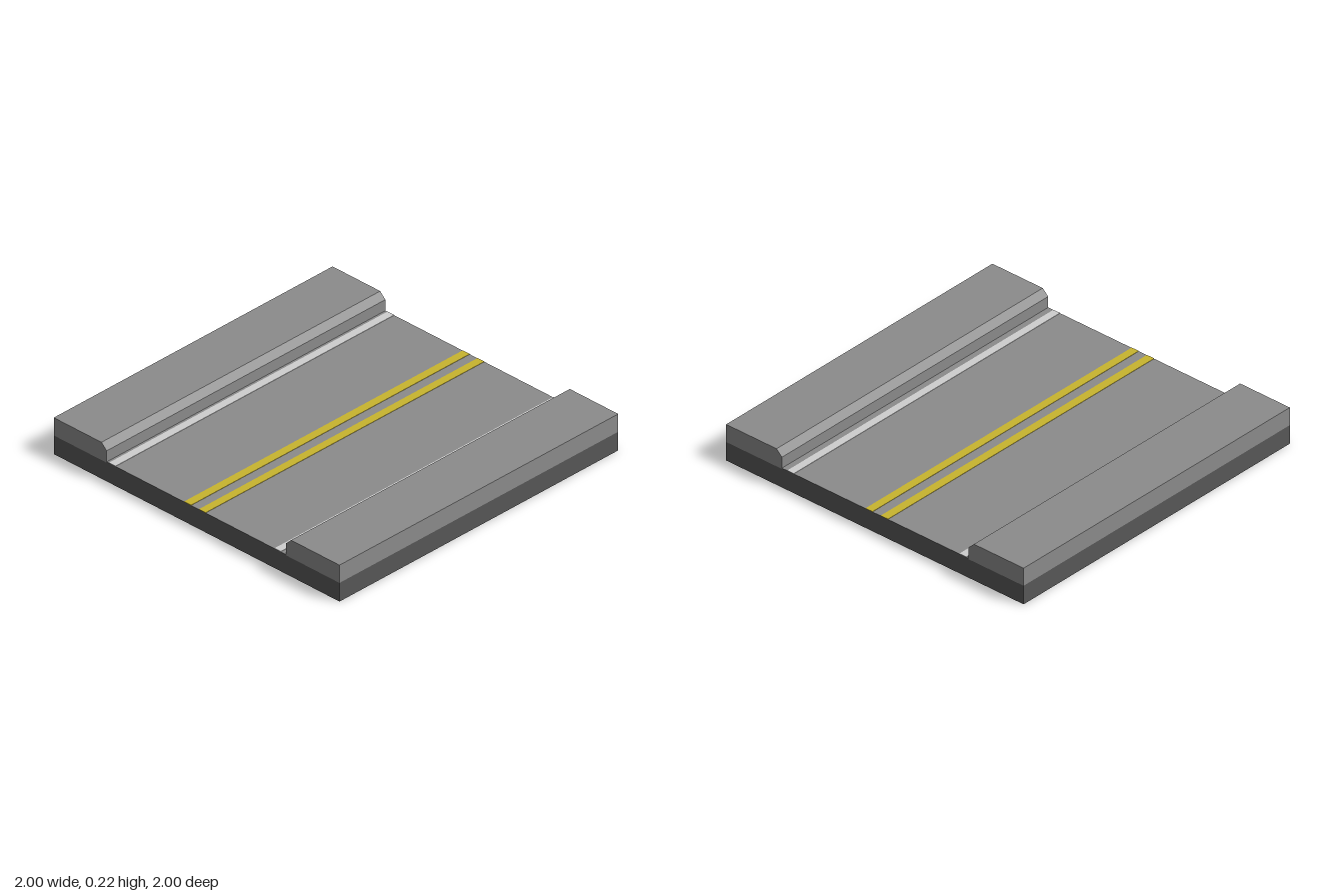
import * as THREE from 'three';

function material(name, color) {
  const m = new THREE.MeshStandardMaterial({ color });
  m.name = name;
  return m;
}

export function createModel() {
  const group = new THREE.Group();
  group.name = 'roadSection';

  const asphalt = material('asphalt grey', 0x8b8b8b);
  const foundation = material('foundation dark grey', 0x575757);
  const yellow = material('line yellow', 0xc8b42e);
  const white = material('line white', 0xcecece);

  const length = 2, baseTop = 0.11, roadTop = 0.115, walkTop = 0.215;
  const curbRight = -0.63, curbLeft = 0.625;

  // Box running the full length, given by its x and y limits
  function strip(name, x0, x1, y0, y1, mat) {
    const mesh = new THREE.Mesh(new THREE.BoxGeometry(x1 - x0, y1 - y0, length), mat);
    mesh.position.set((x0 + x1) / 2, (y0 + y1) / 2, 0);
    mesh.name = name;
    group.add(mesh);
  }

  // Dark foundation, and the road slab with a lighter top face
  strip('foundation', -1, 1, 0, baseTop, foundation);
  const slabFaces = [foundation, foundation, asphalt, foundation, foundation, foundation];
  strip('roadSurface', curbRight, curbLeft, baseTop, roadTop, slabFaces);

  // Raised sidewalks with a chamfered curb edge
  function sidewalk(name, outer, curb) {
    const dir = Math.sign(outer);
    const shape = new THREE.Shape([
      [outer, baseTop], [curb, baseTop], [curb, walkTop - 0.035],
      [curb + dir * 0.036, walkTop], [outer, walkTop],
    ].map(([x, y]) => new THREE.Vector2(x, y)));
    const geometry = new THREE.ExtrudeGeometry(shape, { depth: length, bevelEnabled: false });
    geometry.translate(0, 0, -length / 2);
    const mesh = new THREE.Mesh(geometry, asphalt);
    mesh.name = name;
    group.add(mesh);
  }
  sidewalk('rightSidewalk', -1, curbRight);
  sidewalk('leftSidewalk', 1, curbLeft);

  // Painted lane lines
  const lines = [
    ['rightEdgeLine', -0.614, -0.568, white],
    ['rightCentreLine', -0.088, -0.039, yellow],
    ['leftCentreLine', 0.016, 0.063, yellow],
    ['leftEdgeLine', 0.545, 0.589, white],
  ];
  for (const [name, x0, x1, mat] of lines) strip(name, x0, x1, roadTop, roadTop + 0.002, mat);

  return group;
}
